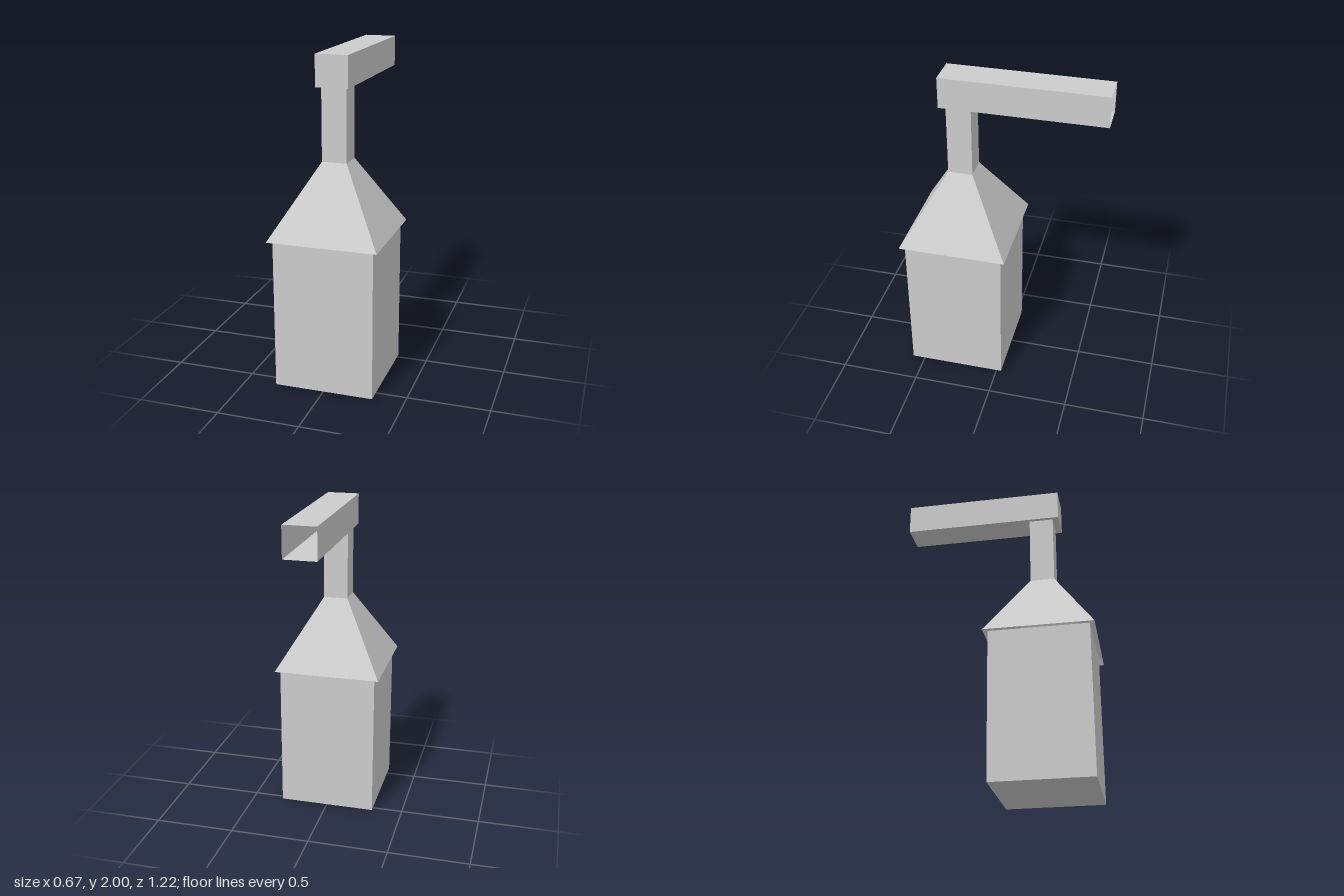
import * as THREE from 'three';

const AXIS_Z = 0.275; // centre line of the body, hood and flue

export function createModel() {
  const model = new THREE.Group();
  const grey = new THREE.MeshStandardMaterial({ color: 0xcccccc, side: THREE.DoubleSide, flatShading: true });
  grey.name = 'light grey';

  function add(name, geometry, y, z) {
    const mesh = new THREE.Mesh(geometry, grey);
    mesh.name = name;
    mesh.position.set(0, y, z);
    model.add(mesh);
  }

  // open-ended square tube or frustum with sides parallel to the axes
  function squareTube(halfTop, halfBottom, height) {
    const r = Math.SQRT2;
    return new THREE.CylinderGeometry(halfTop * r, halfBottom * r, height, 4, 1, true).rotateY(Math.PI / 4);
  }

  // square body standing on the ground
  add('body', new THREE.BoxGeometry(0.612, 0.926, 0.612), 0.463, AXIS_Z);

  // tapered hood overhanging the body, open underneath
  add('hood', squareTube(0.076, 0.335, 0.442), 0.926 + 0.221, AXIS_Z);

  // flue rising from the hood
  add('flue', squareTube(0.076, 0.076, 0.442), 1.368 + 0.221, AXIS_Z);

  // horizontal duct, with its rear face left out
  const duct = new THREE.BoxGeometry(0.198, 0.19, 1.0);
  duct.setIndex(Array.from(duct.index.array).slice(0, 30));
  duct.clearGroups();
  add('duct', duct, 1.905, -0.11);

  return model;
}
